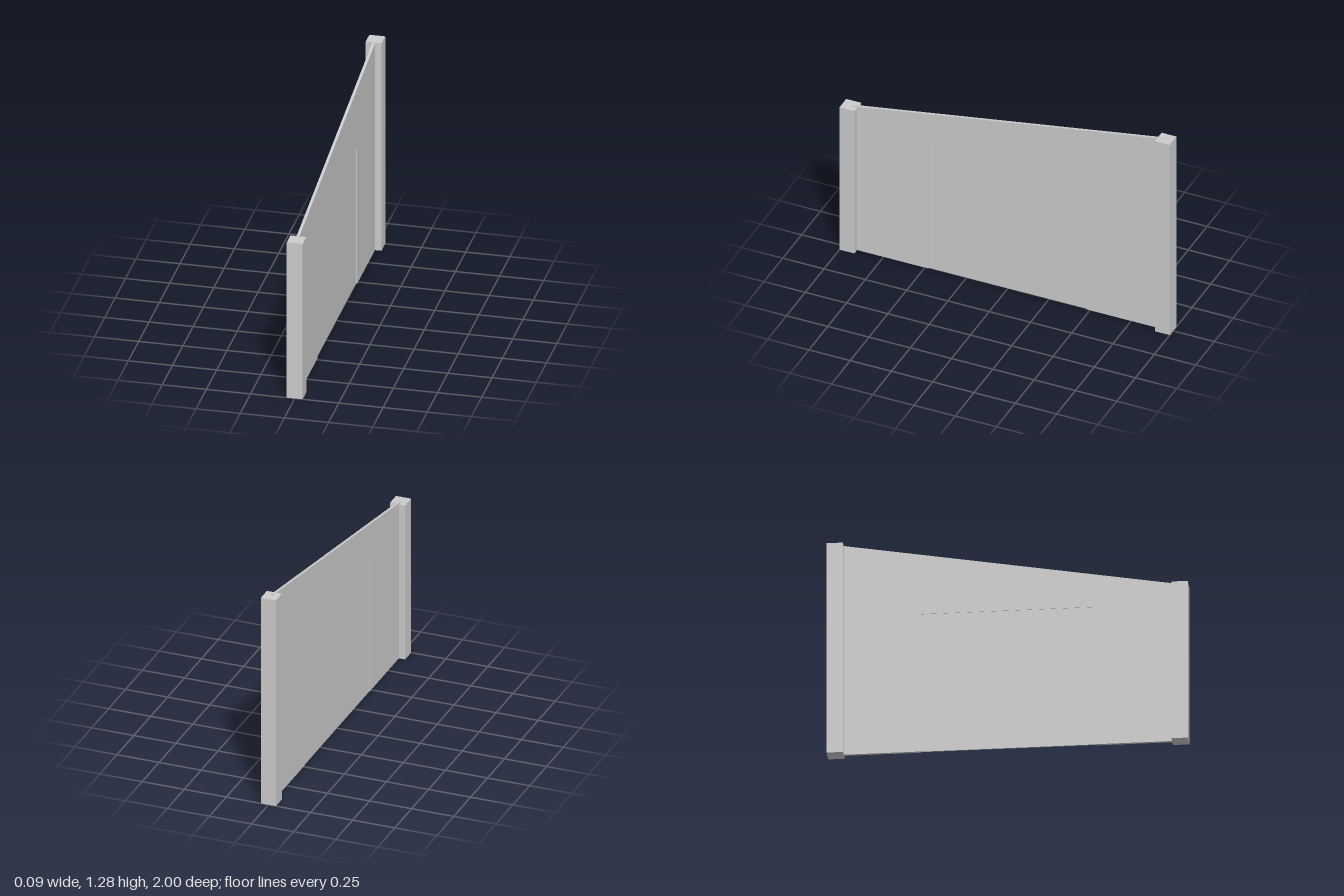
import * as THREE from 'three';

const material = new THREE.MeshStandardMaterial({ color: 0xcccccc, flatShading: true });

const POST = 0.09;       // square post width
const WALL = 0.016;      // wall thickness
const LOW = 0.953, HIGH = 1.273;
const DOOR_W = 0.96, DOOR_H = 0.835;

function addBox(parent, name, w, h, d, x, z) {
  const mesh = new THREE.Mesh(new THREE.BoxGeometry(w, h, d), material);
  mesh.name = name;
  mesh.position.set(x, h / 2, z);
  parent.add(mesh);
}

export function createModel() {
  const model = new THREE.Group();
  model.name = 'slopedPartition';

  // Square end posts, the rear one taller
  const postZ = 1 - POST / 2;
  addBox(model, 'frontPost', POST, LOW, POST, 0, postZ);
  addBox(model, 'rearPost', POST, HIGH, POST, 0, -postZ);

  // Thin wall with sloping top and a doorway cut up from the floor;
  // drawn with shape x = -z, so it is turned to run along z
  const d = DOOR_W / 2;
  const outline = [
    [-0.95, 0], [-d, 0], [-d, DOOR_H], [d, DOOR_H], [d, 0],
    [0.95, 0], [0.95, HIGH + 0.003], [-0.95, LOW],
  ].map(([x, y]) => new THREE.Vector2(x, y));
  const wallGeometry = new THREE.ExtrudeGeometry(new THREE.Shape(outline), {
    depth: WALL, bevelEnabled: false,
  });
  wallGeometry.translate(0, 0, -WALL / 2).rotateY(Math.PI / 2);
  const wall = new THREE.Mesh(wallGeometry, material);
  wall.name = 'wall';
  model.add(wall);

  // Door panel set back inside the doorway
  addBox(model, 'doorPanel', 0.007, DOOR_H, DOOR_W, -0.002, 0);

  return model;
}
